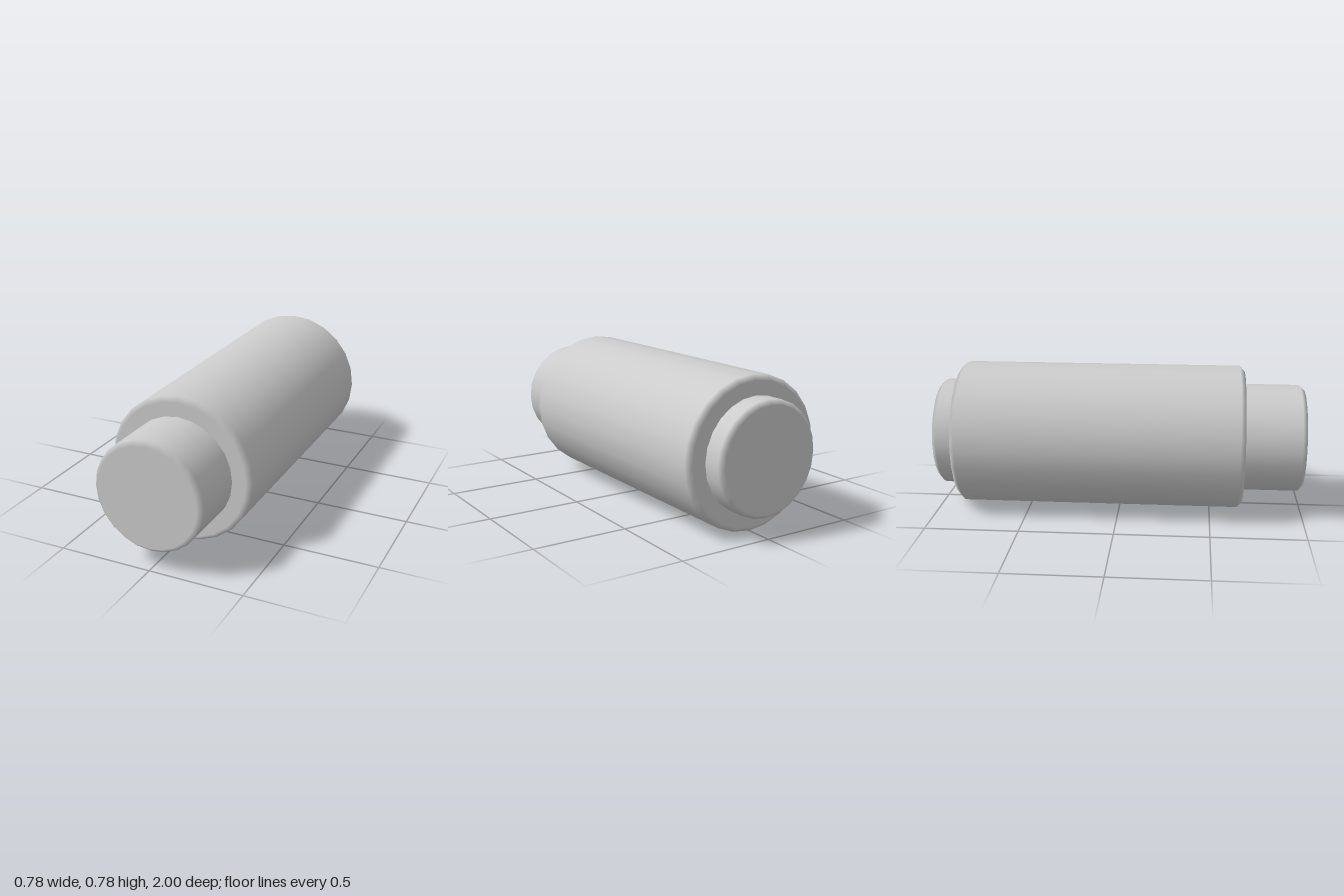
import * as THREE from 'three';

const SIDES = 24;
const RADIUS = 0.392;

// Solid cylinder along z with chamfered rims: flat caps, smooth wall,
// and chamfers whose normals blend from wall to cap.
function bevelledCylinder(name, radius, back, front, bevel, material) {
  const profile = [
    [0, back], [radius - bevel, back], [radius, back + bevel],
    [radius, front - bevel], [radius - bevel, front], [0, front],
  ].map(([r, h]) => new THREE.Vector2(r, h));
  const geometry = new THREE.LatheGeometry(profile, SIDES);
  const normal = geometry.attributes.normal;
  for (let i = 0; i <= SIDES; i++) {
    const a = (i / SIDES) * Math.PI * 2;
    for (let j = 0; j < profile.length; j++) {
      const k = i * profile.length + j;
      if (j < 2) normal.setXYZ(k, 0, -1, 0);
      else if (j < 4) normal.setXYZ(k, Math.sin(a), 0, Math.cos(a));
      else normal.setXYZ(k, 0, 1, 0);
    }
  }
  geometry.rotateX(Math.PI / 2);
  const mesh = new THREE.Mesh(geometry, material);
  mesh.name = name;
  mesh.position.y = RADIUS;
  return mesh;
}

export function createModel() {
  const group = new THREE.Group();
  group.name = 'roller';
  const grey = new THREE.MeshStandardMaterial({ color: 0xcccccc });
  // Wide outer sleeve, set slightly towards the back
  group.add(bevelledCylinder('sleeve', RADIUS, -0.88, 0.675, 0.027, grey));
  // Narrow shaft running through and showing at both ends
  group.add(bevelledCylinder('shaft', 0.292, -1, 1, 0.025, grey));
  return group;
}
